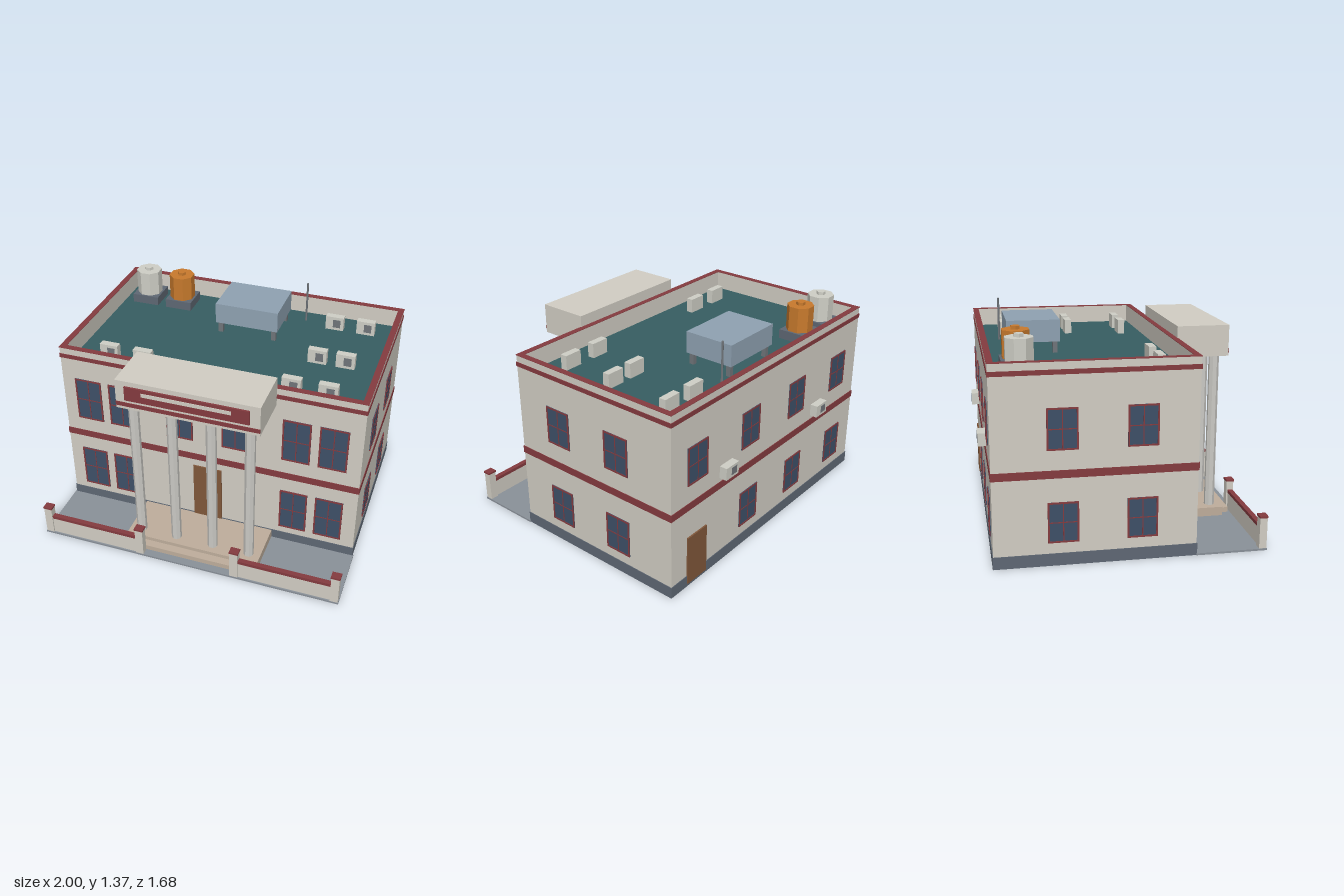
import * as THREE from 'three';

const mat = (color) => new THREE.MeshStandardMaterial({ color, flatShading: true });
const M = {
  wall: mat(0xd2cec4), red: mat(0x853b3f), glass: mat(0x3e5068), door: mat(0x80573a),
  step: mat(0xbfae9c), deck: mat(0x375e62), plinth: mat(0x5f6874), paving: mat(0x8a9199),
  sky: mat(0x8fa2b2), unit: mat(0xcfcfc6), column: mat(0xcbcac5), orange: mat(0xc87a2d),
  dark: mat(0x70757a),
};

// Main block: half width, back and front
const HW = 0.99, ZB = -0.79, ZF = 0.405, ZC = (ZB + ZF) / 2, HD = (ZF - ZB) / 2;
const ROOF = 1.08, TOP = 1.2;

function add(parent, name, geometry, material, x = 0, y = 0, z = 0) {
  const mesh = new THREE.Mesh(geometry, material);
  mesh.name = name;
  mesh.position.set(x, y, z);
  parent.add(mesh);
  return mesh;
}

// Box given by its lower and upper limits
function box(parent, name, material, x0, x1, y0, y1, z0, z1) {
  return add(parent, name, new THREE.BoxGeometry(x1 - x0, y1 - y0, z1 - z0), material,
    (x0 + x1) / 2, (y0 + y1) / 2, (z0 + z1) / 2);
}

function rectangle(path, hw, hd) {
  path.moveTo(-hw, -hd);
  path.lineTo(hw, -hd);
  path.lineTo(hw, hd);
  path.lineTo(-hw, hd);
  path.closePath();
  return path;
}

// Rectangular ring around the block; out is how far it stands proud of the wall
function ring(parent, name, material, y0, y1, out, thickness) {
  const shape = rectangle(new THREE.Shape(), HW + out, HD + out);
  shape.holes.push(rectangle(new THREE.Path(), HW + out - thickness, HD + out - thickness));
  const geo = new THREE.ExtrudeGeometry(shape, { depth: y1 - y0, bevelEnabled: false });
  geo.rotateX(-Math.PI / 2);
  return add(parent, name, geo, material, 0, y0, ZC);
}

// Window facing +z, centred on its own origin
function makeWindow(w, h) {
  const g = new THREE.Group();
  g.name = 'window';
  const t = 0.01, d = 0.006;
  box(g, 'windowGlass', M.glass, -w / 2, w / 2, -h / 2, h / 2, -0.002, 0.002);
  for (const s of [-1, 1]) {
    add(g, 'frameSide', new THREE.BoxGeometry(t, h, d), M.red, s * (w - t) / 2, 0, 0.002);
    add(g, 'frameRail', new THREE.BoxGeometry(w, t, d), M.red, 0, s * (h - t) / 2, 0.002);
  }
  add(g, 'mullion', new THREE.BoxGeometry(0.006, h, 0.004), M.red, 0, 0, 0.002);
  add(g, 'transom', new THREE.BoxGeometry(w, 0.006, 0.004), M.red, 0, 0, 0.002);
  return g;
}

function placeWindow(parent, w, h, x, y, z, turn) {
  const win = makeWindow(w, h);
  win.position.set(x, y, z);
  win.rotation.y = turn;
  parent.add(win);
}

// Air conditioner standing on its origin, grille towards +z
function makeAirUnit(w, h, d) {
  const g = new THREE.Group();
  g.name = 'airUnit';
  box(g, 'airUnitCase', M.unit, -w / 2, w / 2, 0, h, -d / 2, d / 2);
  box(g, 'airUnitGrille', M.dark, -0.01, 0.04, h * 0.2, h * 0.8, d / 2 - 0.002, d / 2 + 0.002);
  return g;
}

function buildBlock(root) {
  const g = new THREE.Group();
  g.name = 'mainBlock';
  root.add(g);
  ring(g, 'walls', M.wall, 0, TOP, 0, 0.002);
  ring(g, 'parapet', M.wall, ROOF, TOP, -0.002, 0.033);
  ring(g, 'parapetCap', M.red, TOP, TOP + 0.003, 0.004, 0.039);
  ring(g, 'plinth', M.plinth, 0, 0.075, 0.004, 0.004);
  ring(g, 'floorBand', M.red, 0.53, 0.577, 0.004, 0.004);
  ring(g, 'topBand', M.red, 1.128, 1.156, 0.004, 0.004);
  box(g, 'roofDeck', M.deck, -HW + 0.01, HW - 0.01, ROOF - 0.01, ROOF, ZB + 0.01, ZF - 0.01);

  // Front windows and door
  for (const s of [-1, 1]) {
    for (const x of [0.58, 0.812]) {
      placeWindow(g, 0.18, 0.305, s * x, 0.278, ZF + 0.003, 0);
      placeWindow(g, 0.18, 0.305, s * x, 0.833, ZF + 0.003, 0);
    }
    placeWindow(g, 0.18, 0.305, s * 0.187, 0.833, ZF + 0.003, 0);
  }
  box(g, 'frontDoor', M.door, -0.098, 0.095, 0.07, 0.48, ZF, ZF + 0.01);

  // Side and back windows
  for (const y of [0.264, 0.818]) {
    for (const s of [-1, 1])
      for (const z of [0.077, -0.385])
        placeWindow(g, 0.18, 0.245, s * (HW + 0.003), y, z, s * Math.PI / 2);
    for (const x of [-0.75, -0.25, 0.25, 0.76])
      if (y > 0.5 || x < 0.5) placeWindow(g, 0.18, 0.245, x, y, ZB - 0.003, Math.PI);
  }
  box(g, 'backDoor', M.door, 0.675, 0.85, 0.02, 0.345, ZB - 0.01, ZB);

  // Air conditioners on the back wall
  for (const x of [-0.5, 0.49]) {
    const unit = makeAirUnit(0.12, 0.08, 0.05);
    unit.position.set(x, 0.605, ZB - 0.026);
    unit.rotation.y = Math.PI;
    g.add(unit);
  }
}

function buildPortico(root) {
  const g = new THREE.Group();
  g.name = 'portico';
  root.add(g);
  box(g, 'canopy', M.wall, -0.45, 0.445, 1.08, 1.275, ZF, 0.735);
  box(g, 'canopyBand', M.red, -0.45, 0.445, 1.1, 1.127, 0.734, 0.739);
  box(g, 'signBoard', M.red, -0.388, 0.383, 1.15, 1.243, 0.734, 0.748);
  box(g, 'signStrip', M.wall, -0.28, 0.275, 1.198, 1.222, 0.747, 0.752);
  for (const x of [-0.373, -0.128, 0.122, 0.367]) {
    const col = new THREE.CylinderGeometry(0.033, 0.033, 1.01, 8).rotateY(Math.PI / 8);
    add(g, 'column', col, M.column, x, 0.575, 0.665);
  }
  box(g, 'platform', M.step, -0.45, 0.445, 0.01, 0.07, ZF, 0.735);
  box(g, 'lowerStep', M.step, -0.4, 0.395, 0.01, 0.045, 0.73, 0.788);
}

function buildForecourt(root) {
  const g = new THREE.Group();
  g.name = 'forecourt';
  root.add(g);
  box(g, 'paving', M.paving, -1, 1, 0, 0.012, ZF, 0.84);
  for (const s of [-1, 1]) {
    const [a, b] = s < 0 ? [-0.95, -0.345] : [0.34, 0.945];
    box(g, 'fenceWall', M.wall, a, b, 0.012, 0.126, 0.802, 0.83);
    box(g, 'fenceCap', M.red, a, b, 0.126, 0.147, 0.8, 0.832);
    for (const x of [0.97, 0.321]) {
      box(g, 'fencePost', M.wall, s * x - 0.026, s * x + 0.026, 0.012, 0.205, 0.792, 0.838);
      box(g, 'fencePostCap', M.red, s * x - 0.03, s * x + 0.03, 0.205, 0.217, 0.789, 0.841);
    }
  }
}

function buildRoof(root) {
  const g = new THREE.Group();
  g.name = 'roofEquipment';
  root.add(g);

  // Water tanks on stands
  for (const [x, m] of [[-0.795, M.unit], [-0.547, M.orange]]) {
    box(g, 'tankStand', M.plinth, x - 0.094, x + 0.094, ROOF, 1.14, -0.695, -0.508);
    const body = new THREE.CylinderGeometry(0.087, 0.087, 0.168, 8).rotateY(Math.PI / 8);
    add(g, 'tankBody', body, m, x, 1.224, -0.6);
    add(g, 'tankLid', new THREE.CylinderGeometry(0.03, 0.03, 0.02, 6).rotateY(Math.PI / 6), m, x, 1.318, -0.6);
  }

  // Raised solar heater box with legs and panel ribs
  const [x0, x1, z0, z1] = [-0.187, 0.242, -0.627, -0.29];
  box(g, 'heaterBox', M.sky, x0, x1, 1.155, 1.295, z0, z1);
  for (const x of [x0 + 0.03, x1 - 0.03])
    for (const z of [z0 + 0.03, z1 - 0.03])
      box(g, 'heaterLeg', M.dark, x - 0.015, x + 0.015, ROOF, 1.155, z - 0.015, z + 0.015);

  // Mast
  add(g, 'mast', new THREE.CylinderGeometry(0.007, 0.007, 0.285, 6), M.dark, 0.35, 1.2225, -0.642);

  // Rooftop air conditioners
  for (const [x, z] of [[-0.725, 0.225], [-0.495, 0.225], [0.487, 0.225], [0.718, 0.225],
    [0.556, -0.145], [0.74, -0.145], [0.563, -0.6], [0.775, -0.6]]) {
    const unit = makeAirUnit(0.122, 0.095, 0.046);
    unit.position.set(x, ROOF, z);
    g.add(unit);
  }
}

export function createModel() {
  const root = new THREE.Group();
  root.name = 'building';
  buildBlock(root);
  buildPortico(root);
  buildForecourt(root);
  buildRoof(root);
  return root;
}
